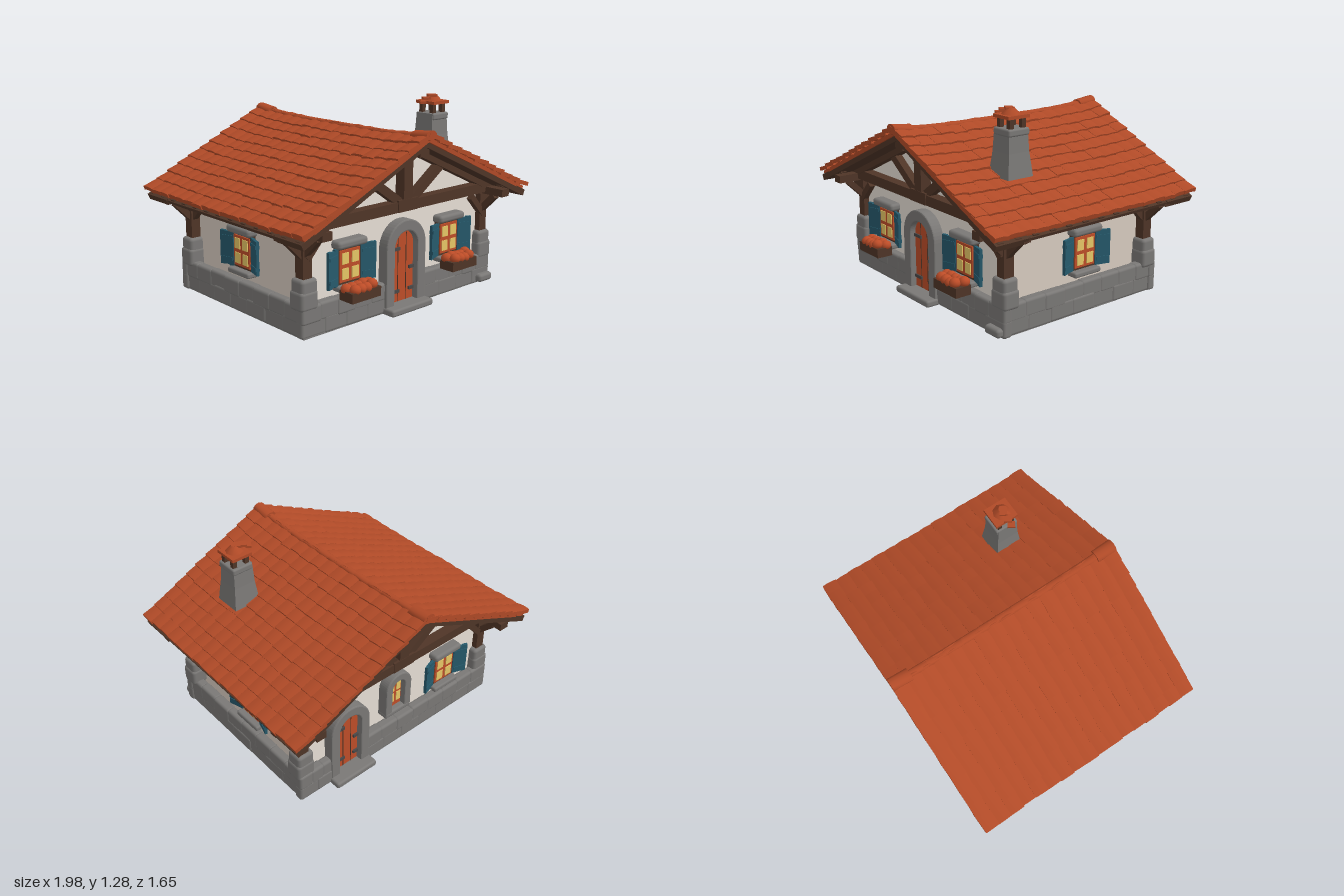
import * as THREE from 'three';
import { mergeGeometries } from 'three/addons/utils/BufferGeometryUtils.js';
import { RoundedBoxGeometry } from 'three/addons/geometries/RoundedBoxGeometry.js';

const mat = (name, color, opts = {}) => Object.assign(new THREE.MeshStandardMaterial({ color, ...opts }), { name });
const M = {
  roof: mat('terracotta', 0xb04a27),
  door: mat('orangeWood', 0xbe4d28),
  stone: mat('stone', 0x7a7876),
  wood: mat('darkWood', 0x4f3527),
  wall: mat('plaster', 0xd8ccc0, { side: THREE.DoubleSide }),
  gable: mat('palePlaster', 0xfbf2e8, { side: THREE.DoubleSide }),
  shutter: mat('blueWood', 0x265a6c),
  pane: mat('yellowGlass', 0xefce6a),
  iron: mat('iron', 0x4a4848),
};

let seed = 7;
const rnd = (a = 0, b = 1) => {
  seed = (seed * 16807) % 2147483647;
  return a + (b - a) * (seed / 2147483647);
};

function add(parent, name, geo, material, x = 0, y = 0, z = 0) {
  const m = new THREE.Mesh(geo, material);
  m.name = name;
  m.position.set(x, y, z);
  parent.add(m);
  return m;
}
const box = (p, name, material, w, h, d, x, y, z) => add(p, name, new THREE.BoxGeometry(w, h, d), material, x, y, z);
const rock = (p, name, w, h, d, x, y, z, r = 0.02) =>
  add(p, name, new RoundedBoxGeometry(w, h, d, 2, r), M.stone, x, y, z);

// timber from point a to point b
function beam(p, name, a, b, w, h, material = M.wood) {
  const A = new THREE.Vector3(...a), B = new THREE.Vector3(...b);
  const m = add(p, name, new THREE.BoxGeometry(w, h, A.distanceTo(B)), material);
  m.position.copy(A).add(B).multiplyScalar(0.5);
  m.lookAt(B);
  return m;
}

function group(parent, name, x, y, z, turn = 0) {
  const g = new THREE.Group();
  g.name = name;
  g.position.set(x, y, z);
  g.rotation.y = turn;
  parent.add(g);
  return g;
}

// round-topped outline
function archShape(w, bottom, spring) {
  const s = new THREE.Shape();
  s.moveTo(-w, bottom);
  s.lineTo(w, bottom);
  s.lineTo(w, spring);
  s.absarc(0, spring, w, 0, Math.PI, false);
  s.lineTo(-w, bottom);
  return s;
}
const extrude = (shape, depth, bevel = 0) => new THREE.ExtrudeGeometry(shape, {
  depth, curveSegments: 12, bevelEnabled: bevel > 0, bevelSize: bevel, bevelThickness: bevel, bevelSegments: 2,
});

function archFrame(g, inner, outer, bottom, spring) {
  const s = new THREE.Shape();
  s.moveTo(-outer, bottom);
  s.lineTo(-inner, bottom);
  s.lineTo(-inner, spring);
  s.absarc(0, spring, inner, Math.PI, 0, true);
  s.lineTo(inner, bottom);
  s.lineTo(outer, bottom);
  s.lineTo(outer, spring);
  s.absarc(0, spring, outer, 0, Math.PI, false);
  add(g, 'archFrame', extrude(s, 0.06, 0.008), M.stone, 0, 0, 0.005);
}

// stone arch, door leaf, ironwork and step
function makeDoor(g, inner, outer, spring) {
  archFrame(g, inner, outer - 0.008, 0.02, spring);
  add(g, 'doorLeaf', extrude(archShape(inner + 0.005, 0.05, spring), 0.055), M.door, 0, 0, -0.025);
  for (const x of [-0.33, 0.33]) box(g, 'plankGap', M.wood, 0.004, spring + 0.03, 0.004, x * inner, (spring + 0.13) / 2, 0.031);
  for (const y of [0.12, spring - 0.015]) box(g, 'hinge', M.iron, inner * 0.75, 0.02, 0.012, -inner * 0.6, y, 0.034);
  for (const y of [0.12, 0.26]) box(g, 'latch', M.iron, 0.04, 0.02, 0.015, inner * 0.72, y, 0.036);
  rock(g, 'doorStep', outer * 2.1, 0.045, 0.15, 0, 0.0275, 0.065, 0.015);
}

// four panes on both faces of the wall
function panes(g, w, h, y, gap) {
  for (const sx of [-1, 1]) for (const sy of [-1, 1]) for (const z of [0.036, -0.032])
    box(g, 'pane', M.pane, w, h, 0.006, sx * (w + gap) / 2, y + sy * (h + gap) / 2, z);
}

function makeWindow(parent, x, z, turn, flowers) {
  const g = group(parent, 'shutterWindow', x, 0.38, z, turn);
  box(g, 'windowFrame', M.wood, 0.2, 0.235, 0.05, 0, 0, 0);
  box(g, 'windowSash', M.door, 0.16, 0.195, 0.064, 0, 0, 0.002);
  panes(g, 0.053, 0.068, 0, 0.026);
  rock(g, 'lintel', 0.235, 0.05, 0.09, 0, 0.138, 0.025);
  rock(g, 'sill', 0.215, 0.035, 0.09, 0, -0.13, 0.025, 0.012);
  for (const s of [-1, 1]) {
    const leaf = group(g, 'shutter', s * 0.09, 0, 0.022, -s * 0.3);
    for (let i = 0; i < 3; i++) box(leaf, 'shutterPlank', M.shutter, 0.034, 0.222 + rnd(-0.008, 0.008), 0.018, s * (0.02 + i * 0.034), 0, 0);
    for (const y of [-0.07, 0.07]) box(leaf, 'shutterRail', M.shutter, 0.09, 0.022, 0.026, s * 0.055, y, 0);
  }
  if (!flowers) return;
  box(g, 'flowerBox', M.wood, 0.23, 0.06, 0.11, 0, -0.15, 0.125);
  for (let i = 0; i < 9; i++) {
    const f = add(g, 'flowers', new THREE.IcosahedronGeometry(0.036, 1), M.door, -0.088 + i * 0.022, -0.114 + rnd(0, 0.014), 0.125 + (i % 2 ? 0.026 : -0.026));
    f.scale.y = 0.9;
  }
}

// course-laid stone footing along local x
function footing(parent, length, x, z, turn) {
  const g = group(parent, 'stoneFooting', x, 0, z, turn);
  box(g, 'footingCore', M.stone, length - 0.01, 0.18, 0.056, 0, 0.1, 0);
  for (let row = 0; row < 2; row++) {
    const n = Math.max(2, Math.round(length / 0.17) + row);
    const step = length / n;
    for (let i = 0; i < n; i++)
      rock(g, 'footingStone', step + 0.018, 0.112, 0.062 + rnd(0, 0.01), -length / 2 + (i + 0.5) * step, 0.061 + row * 0.086 + rnd(0, 0.006), rnd(-0.003, 0.003), 0.018);
  }
}

const SLOPE = 0.463, ANGLE = Math.atan(SLOPE);

// overlapping, nearly flat tiles; the roof lifts at both gable ends
function makeRoof(root) {
  const parts = [];
  for (const side of [0, Math.PI]) {
    const put = (geo) => parts.push(geo.rotateZ(-ANGLE).rotateY(side).translate(0, 1.12, 0));
    put(new THREE.BoxGeometry(1.05, 0.025, 1.6, 4, 1, 16).translate(0.525, -0.018, 0));
    for (let i = 0; i < 11; i++) for (let j = 0; j < 17; j++) {
      const t = new THREE.BoxGeometry(0.128 + rnd(-0.012, 0.012), 0.026, 0.101, 1, 1, 4);
      const p = t.attributes.position;
      for (let k = 0; k < p.count; k++) p.setY(k, p.getY(k) + 0.006 * Math.cos(p.getZ(k) / 0.05 * 1.5));
      put(t.rotateZ(0.11 + rnd(-0.02, 0.02)).rotateX(rnd(-0.03, 0.03)).rotateY(rnd(-0.04, 0.04))
        .translate(0.045 + i * 0.096, 0.004 + rnd(0, 0.005), (j - 8) * 0.096));
    }
  }
  // ridge caps
  for (let j = 0; j < 13; j++) {
    const end = j === 0 || j === 12;
    const r = end ? 0.045 : 0.026;
    const cap = new THREE.CylinderGeometry(r, r, 0.135, 10).rotateX(Math.PI / 2);
    parts.push(cap.scale(1, 0.7, 1).translate(0, end ? 1.125 : 1.128, (j - 6) * 0.125));
  }
  for (const geo of parts) {
    const p = geo.attributes.position;
    for (let k = 0; k < p.count; k++) {
      const x = Math.abs(p.getX(k)), z = p.getZ(k) / 0.82;
      p.setY(k, p.getY(k) - 0.032 * (1 - z ** 4) * (1 - 0.7 * x));
      p.setZ(k, p.getZ(k) * (1.005 - 0.02 * x));
    }
    geo.computeVertexNormals();
  }
  add(root, 'roofTiles', mergeGeometries(parts), M.roof);
}

export function createModel() {
  const root = new THREE.Group();
  root.name = 'cottage';

  // plaster walls
  const gable = new THREE.Shape([[-0.73, 0.15], [0.73, 0.15], [0.73, 0.71], [0, 1.05], [-0.73, 0.71]].map(p => new THREE.Vector2(...p)));
  for (const z of [0.555, -0.57]) add(root, 'gableWall', extrude(gable, 0.015), M.gable, 0, 0, z);
  for (const s of [-1, 1]) box(root, 'sideWall', M.wall, 0.015, 0.56, 1.11, s * 0.7275, 0.43, 0);

  // footing, left open at the doors
  const runs = [[-0.82, -0.15, 0.59], [0.15, 0.82, 0.59], [-0.82, 0.3, -0.602], [0.56, 0.82, -0.602]];
  for (const [a, b, z] of runs) footing(root, b - a, (a + b) / 2, z, 0);
  for (const s of [-1, 1]) footing(root, 1.22, s * 0.785, -0.006, Math.PI / 2);
  rock(root, 'cornerStone', 0.13, 0.055, 0.11, 0.755, 0.045, 0.61);

  // doors and windows
  makeDoor(group(root, 'frontDoor', -0.005, 0, 0.57), 0.108, 0.172, 0.41);
  makeDoor(group(root, 'backDoor', 0.43, 0, -0.57, Math.PI), 0.095, 0.155, 0.395);
  for (const x of [-0.445, 0.425]) makeWindow(root, x, 0.57, 0, true);
  makeWindow(root, -0.42, -0.57, Math.PI, false);
  makeWindow(root, 0.735, -0.055, Math.PI / 2, false);
  makeWindow(root, -0.735, -0.03, -Math.PI / 2, false);
  const small = group(root, 'archedWindow', 0.03, 0, -0.57, Math.PI);
  archFrame(small, 0.06, 0.1, 0.3, 0.49);
  rock(small, 'archedSill', 0.22, 0.04, 0.09, 0, 0.295, 0.03, 0.015);
  add(small, 'archedSash', extrude(archShape(0.063, 0.31, 0.49), 0.064), M.door, 0, 0, -0.03);
  panes(small, 0.034, 0.07, 0.43, 0.02);

  // corner pillars, posts and braces
  for (const sx of [-1, 1]) for (const sz of [-1, 1]) {
    const X = sx * 0.77, Z = sz * 0.568;
    rock(root, 'pillarStone', 0.13, 0.12, 0.12, X, 0.235, Z, 0.022);
    rock(root, 'pillarStone', 0.12, 0.1, 0.11, X - sx * 0.003, 0.315, Z, 0.022);
    box(root, 'cornerPost', M.wood, 0.065, 0.32, 0.07, X, 0.5, Z);
    box(root, 'postHead', M.wood, 0.09, 0.05, 0.09, X, 0.6, Z);
    beam(root, 'outerBrace', [X, 0.48, Z], [sx * 0.9, 0.61, Z], 0.04, 0.04);
    beam(root, 'innerBrace', [X, 0.48, sz * 0.59], [sx * 0.65, 0.61, sz * 0.59], 0.04, 0.04);
    beam(root, 'sideBrace', [X, 0.48, Z], [X, 0.61, sz * 0.44], 0.04, 0.04);
    beam(root, 'frontBrace', [X, 0.49, Z], [X, 0.62, sz * 0.7], 0.04, 0.04);
    beam(root, 'eaveArm', [X, 0.63, Z], [sx * 0.96, 0.63, Z], 0.05, 0.03);
  }

  // gable trusses with boarded overhang
  for (const sz of [-1, 1]) {
    const Z = sz * 0.605;
    box(root, 'tieBeam', M.wood, 1.74, 0.065, 0.07, 0, 0.67, Z);
    box(root, 'kingPost', M.wood, 0.075, 0.42, 0.075, 0, 0.86, Z);
    box(root, 'kingPostFoot', M.wood, 0.17, 0.075, 0.08, 0, 0.675, Z);
    for (const s of [-1, 1]) {
      beam(root, 'trussStrut', [s * 0.06, 0.7, Z], [s * 0.33, 0.89, Z], 0.05, 0.055);
      beam(root, 'kingBracket', [0, 0.93, Z], [s * 0.11, 1.0, Z], 0.05, 0.04);
      beam(root, 'rafter', [0, 1.035, sz * 0.61], [s * 0.9, 1.035 - 0.9 * SLOPE, sz * 0.61], 0.07, 0.05);
      beam(root, 'overhangBoard', [0, 1.07, sz * 0.675], [s * 0.96, 1.07 - 0.96 * SLOPE, sz * 0.675], 0.23, 0.04);
    }
    beam(root, 'ridgeBeam', [0, 1.03, sz * 0.56], [0, 1.03, sz * 0.77], 0.08, 0.08);
  }

  // eave plates and rafter tails
  for (const s of [-1, 1]) {
    box(root, 'wallPlate', M.wood, 0.07, 0.05, 1.56, s * 0.775, 0.65, 0);
    beam(root, 'eaveBoard', [s * 0.73, 0.725, 0], [s * 0.96, 0.632, 0], 1.58, 0.02);
    for (let i = 0; i < 13; i++)
      beam(root, 'rafterTail', [s * 0.74, 0.71, (i - 6) * 0.125], [s * 0.955, 0.64, (i - 6) * 0.125], 0.04, 0.025);
  }

  makeRoof(root);

  // chimney, flared towards the roof
  const ch = group(root, 'chimney', 0.53, 0, 0.335);
  for (const [top, bottom, y, h] of [[0.069, 0.076, 1.09, 0.14], [0.076, 0.093, 0.945, 0.15]]) {
    const stack = new THREE.CylinderGeometry(top * Math.SQRT2, bottom * Math.SQRT2, h, 4).toNonIndexed().rotateY(Math.PI / 4);
    stack.computeVertexNormals();
    add(ch, 'chimneyStack', stack, M.stone, 0, y, 0);
  }
  rock(ch, 'chimneyLip', 0.148, 0.045, 0.158, 0.005, 1.14, 0, 0.012);
  for (const x of [-0.04, 0.05]) for (const z of [-0.045, 0.045]) box(ch, 'chimneyPeg', M.wood, 0.03, 0.07, 0.03, x, 1.19, z);
  box(ch, 'chimneyCap', M.roof, 0.145, 0.02, 0.16, 0.005, 1.23, 0);
  // humped cap with one long drooping tile
  add(ch, 'capHump', new THREE.CylinderGeometry(0.02, 0.062, 0.045, 8), M.roof, 0.005, 1.258, 0.005);
  const droop = [[0.02, 1.277], [-0.04, 1.268], [-0.085, 1.248], [-0.115, 1.222]];
  for (let i = 0; i < 3; i++)
    beam(ch, 'capTile', [...droop[i], 0.005], [...droop[i + 1], 0.01], 0.016, 0.048, M.roof).rotateZ(Math.PI / 2);
  return root;
}
